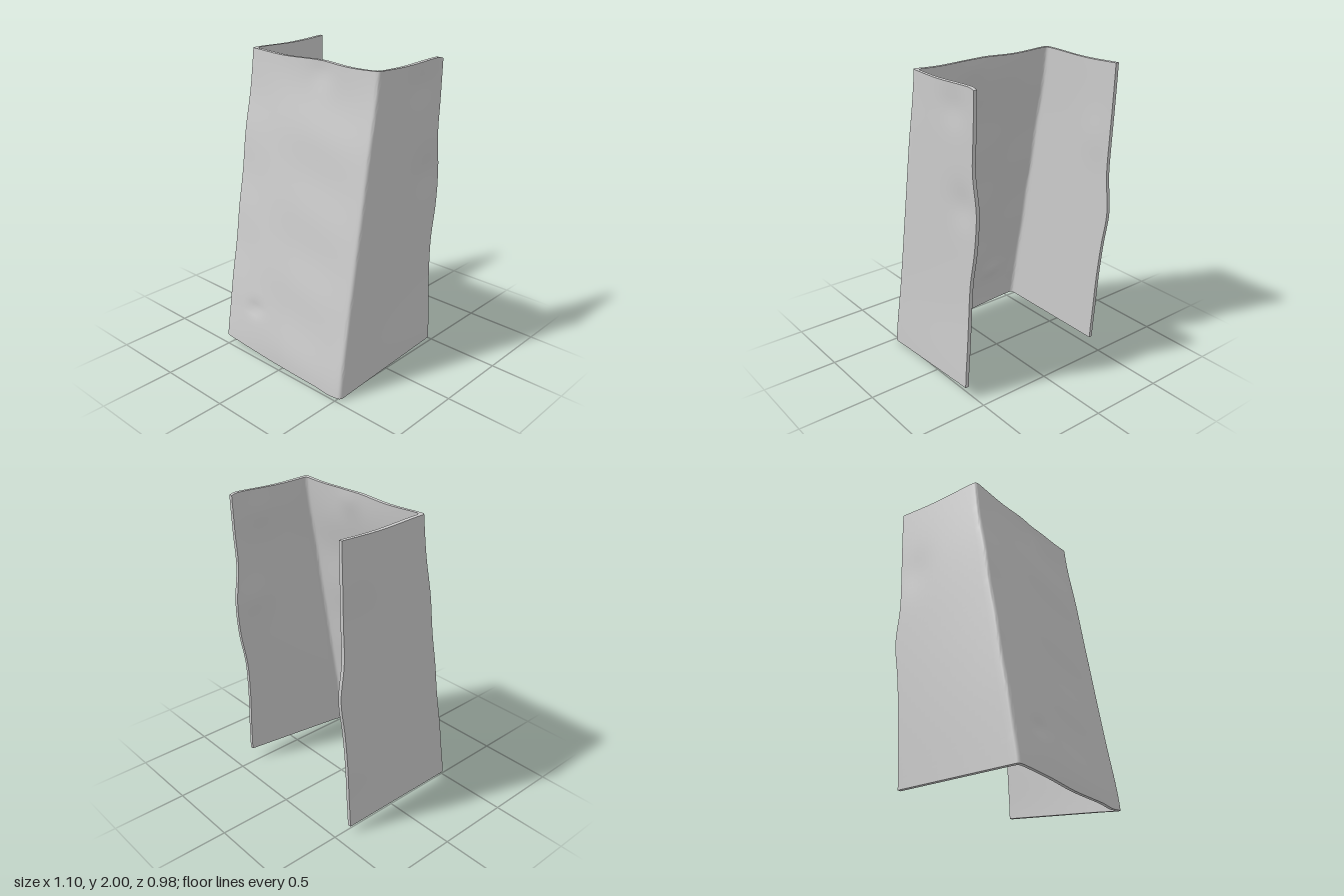
import * as THREE from 'three';
import { toCreasedNormals } from 'three/addons/utils/BufferGeometryUtils.js';

const THICK = 0.024;
const ROWS = 48;
const WALL = 22;  // columns per side wall
const FRONT = 32; // columns across the front
const BEND = 5;   // columns around each bend

// Smooth curve through evenly spaced values, sampled with t in 0..1
function profile(values) {
  const curve = new THREE.SplineCurve(values.map((v, i) => new THREE.Vector2(i, v)));
  return t => curve.getPoint(Math.min(1, Math.max(0, t))).y;
}

// Back edges, bends and lower rim of the sheet, from bottom to top
const zBackRight = profile([-0.40, -0.415, -0.43, -0.455, -0.488, -0.465, -0.472, -0.48, -0.487]);
const zBackLeft = profile([-0.385, -0.39, -0.393, -0.405, -0.445, -0.46, -0.433, -0.443, -0.45]);
const zFront = profile([0.48, 0.40, 0.315, 0.232, 0.15]);
const xBackRight = profile([-0.535, -0.54, -0.545, -0.548, -0.55]);
const xFrontRight = profile([-0.537, -0.54, -0.542, -0.546, -0.542]);
const xFrontLeft = profile([0.527, 0.518, 0.516, 0.514, 0.508]);
const xBackLeft = profile([0.552, 0.527, 0.516, 0.515, 0.514]);
const frontRim = profile([0.052, 0.038, 0.018, 0.012, 0.012]);

const bump = (a, b, ra, rb) => Math.exp(-((a / ra) ** 2) - (b / rb) ** 2);

// One horizontal section: right wall, bend, front, bend, left wall
function section(t, inset) {
  const zf = zFront(t) - inset;
  const A = new THREE.Vector2(xBackRight(t) + inset, zBackRight(t));
  const B = new THREE.Vector2(xFrontRight(t) + inset, zf);
  const C = new THREE.Vector2(xFrontLeft(t) - inset, zf);
  const D = new THREE.Vector2(xBackLeft(t) - inset, zBackLeft(t));
  const r = 0.028;
  const toward = (p, q) => p.clone().add(q.clone().sub(p).setLength(r));
  const pts = [];
  const line = (p, q, n) => {
    for (let i = 0; i <= n; i++) pts.push(p.clone().lerp(q, i / n));
  };
  const bend = (p, corner, q) => {
    const c = new THREE.QuadraticBezierCurve(p, corner, q);
    for (let i = 1; i < BEND; i++) pts.push(c.getPoint(i / BEND));
  };
  const b0 = toward(B, A), b1 = toward(B, C), c0 = toward(C, B), c1 = toward(C, D);
  line(A, b0, WALL);
  bend(b0, B, b1);
  line(b1, c0, FRONT);
  bend(c0, C, c1);
  line(c1, D, WALL);

  return pts.map((p, i) => {
    // Lower rim height varies around the sheet
    const frontU = THREE.MathUtils.clamp((p.x + 0.54) / 1.06, 0, 1);
    const last = pts.length - 1;
    const leftU = Math.max(0, (i - (last - WALL)) / WALL);
    let rim = frontRim(frontU) + 0.075 * leftU;
    rim -= 0.012 * bump(p.x - 0.42, p.y - 0.48, 0.08, 0.1);
    const top = 1.993 + 0.005 * Math.sin(p.x * 11 + p.y * 9)
      - 0.012 * bump(p.x - 0.51, p.y + 0.46, 0.1, 0.03);
    const y = rim + (top - rim) * t;
    let { x, y: z } = p;
    // Shallow creases and dents across the front
    if (i > WALL && i < last - WALL) {
      z += 0.003 * Math.sin(y * 13 + x * 3) * Math.sin(x * 4 + 1);
      z += 0.007 * (1 - t) * (x < 0 ? Math.sin(-x * Math.PI / 0.54) : 0);
      z -= 0.014 * bump(x + 0.28, y - 0.33, 0.07, 0.04);
      z -= 0.012 * bump(x - 0.08, y - 1.95, 0.09, 0.1);
    }
    // Dents near the back of the side walls
    if (i >= last - WALL) {
      x -= 0.012 * bump(z + 0.33, y - 1.28, 0.12, 0.12);
      x -= 0.01 * bump(z + 0.25, y - 1.85, 0.12, 0.1);
    }
    if (i <= WALL) x += 0.006 * bump(z + 0.35, y - 1.5, 0.12, 0.15);
    return [x, y, z];
  });
}

// Closed thin sheet: each row runs along the outside and back along the inside
function sheetGeometry() {
  const positions = [], index = [];
  let n = 0;
  for (let j = 0; j <= ROWS; j++) {
    const outer = section(j / ROWS, 0);
    const inner = section(j / ROWS, THICK).reverse();
    const ring = [...outer, ...inner];
    n = ring.length;
    ring.forEach(p => positions.push(...p));
  }
  for (let j = 0; j < ROWS; j++) {
    for (let i = 0; i < n; i++) {
      const k = (i + 1) % n;
      const a = j * n + i, b = j * n + k, c = a + n, d = b + n;
      index.push(a, b, d, a, d, c);
    }
  }
  // Upper and lower rims join the outside to the inside
  const base = ROWS * n;
  for (let i = 0; i < n / 2 - 1; i++) {
    const o0 = i, o1 = i + 1, i0 = n - 1 - i, i1 = n - 2 - i;
    index.push(o0, i0, i1, o0, i1, o1);
    index.push(base + o0, base + o1, base + i1, base + o0, base + i1, base + i0);
  }
  const g = new THREE.BufferGeometry();
  g.setAttribute('position', new THREE.Float32BufferAttribute(positions, 3));
  g.setIndex(index);
  return toCreasedNormals(g, 0.8);
}

export function createModel() {
  const group = new THREE.Group();
  group.name = 'bentSheet';
  const material = new THREE.MeshStandardMaterial({ color: 0xcccccc, side: THREE.DoubleSide });
  const sheet = new THREE.Mesh(sheetGeometry(), material);
  sheet.name = 'foldedPanel';
  group.add(sheet);
  return group;
}
